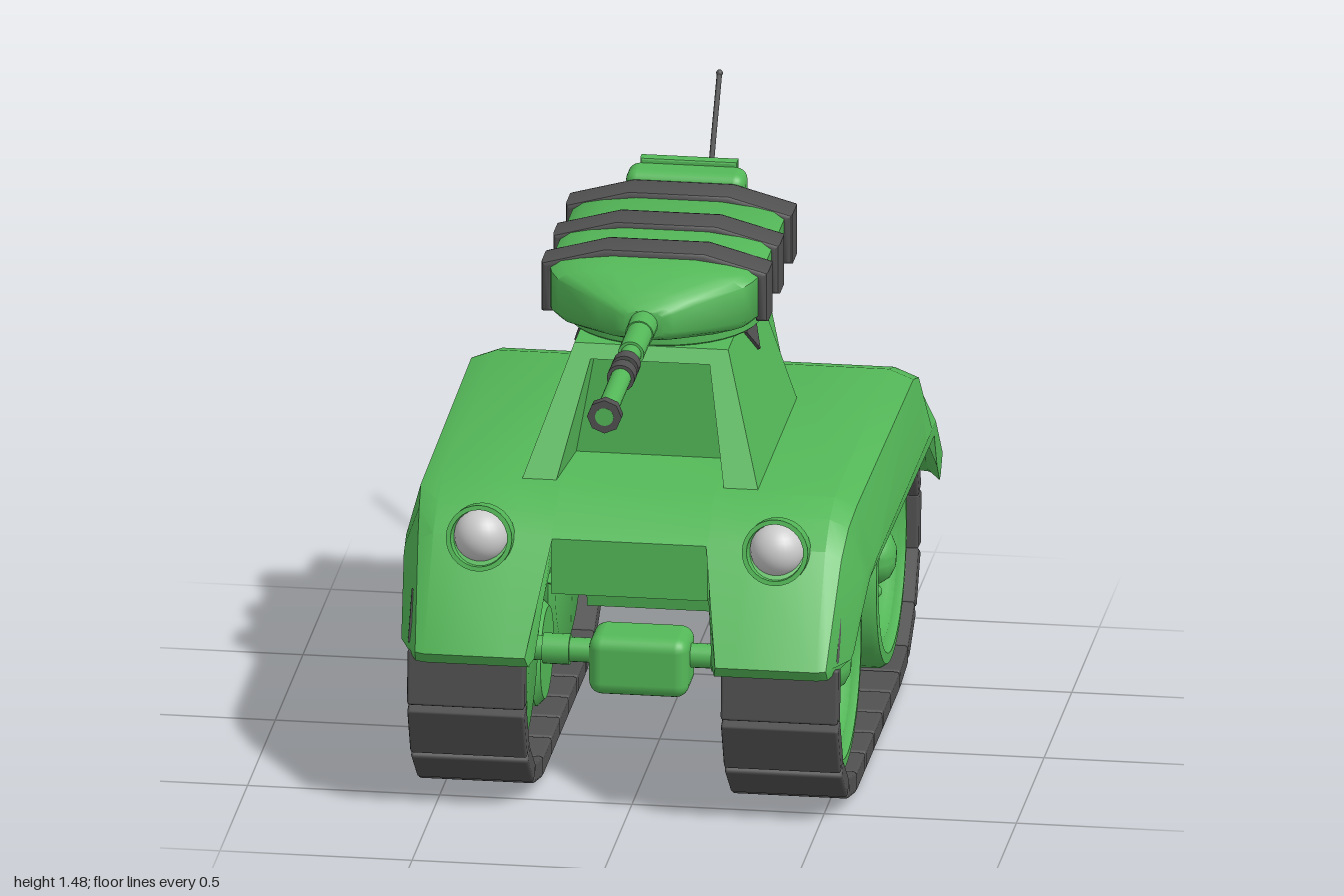
import * as THREE from 'three';
import { toCreasedNormals } from 'three/addons/utils/BufferGeometryUtils.js';
import { RoundedBoxGeometry } from 'three/addons/geometries/RoundedBoxGeometry.js';

const green = new THREE.MeshStandardMaterial({ color: 0x54b858 });
const dark = new THREE.MeshStandardMaterial({ color: 0x515151 });
const grey = new THREE.MeshStandardMaterial({ color: 0xcccccc });
const greenThin = new THREE.MeshStandardMaterial({ color: 0x54b858, side: THREE.DoubleSide });

const V2 = (p) => new THREE.Vector2(p[0], p[1]);

// Closed loft: sections [c, [[a, b, shift], ...]] along axis c; (a, b) are the next two axes in x-y-z order,
// and the optional shift moves a point along c
function loft(sections, axis, crease = 0.6) {
  let secs = sections.slice();
  if (secs[0][0] > secs[secs.length - 1][0]) secs.reverse();
  const mid = secs[Math.floor(secs.length / 2)][1];
  if (THREE.ShapeUtils.isClockWise(mid.map(V2))) secs = secs.map(([c, p]) => [c, p.slice().reverse()]);
  const n = mid.length, pos = [], idx = [];
  for (const [c0, pts] of secs) for (const [a, b, shift = 0] of pts) {
    const c = c0 + shift;
    pos.push(...(axis === 'x' ? [c, a, b] : axis === 'y' ? [b, c, a] : [a, b, c]));
  }
  for (let i = 0; i < secs.length - 1; i++) for (let j = 0; j < n; j++) {
    const k = (j + 1) % n, p = i * n, q = p + n;
    idx.push(p + j, p + k, q + k, p + j, q + k, q + j);
  }
  const end = (secs.length - 1) * n;
  for (const [a, b, c] of THREE.ShapeUtils.triangulateShape(secs[0][1].map(V2), [])) idx.push(c, b, a);
  for (const [a, b, c] of THREE.ShapeUtils.triangulateShape(secs[secs.length - 1][1].map(V2), []))
    idx.push(end + a, end + b, end + c);
  const g = new THREE.BufferGeometry();
  g.setAttribute('position', new THREE.Float32BufferAttribute(pos, 3));
  g.setIndex(idx);
  return toCreasedNormals(g, crease);
}

// Lathe of [radius, along] points, spun about the x, y or z axis
function spin(points, axis, segments = 40) {
  const g = new THREE.LatheGeometry(points.map(V2), segments);
  if (axis === 'x') g.rotateZ(-Math.PI / 2);
  if (axis === 'z') g.rotateX(Math.PI / 2);
  return toCreasedNormals(g, 0.7);
}

export function createModel() {
  const model = new THREE.Group();
  const add = (name, geo, mat, x = 0, y = 0, z = 0, parent = model) => {
    const m = new THREE.Mesh(geo, mat);
    m.name = name;
    m.position.set(x, y, z);
    parent.add(m);
    return m;
  };
  const zy = (list) => list.map(([z, y]) => [y, z]);
  const prismX = (w, list) => loft([[-w, zy(list)], [w, zy(list)]], 'x');

  // Central hull and belly
  add('hull', prismX(0.204, [[0.55, 0.59], [0.55, 0.74], [0.47, 0.8], [0.38, 0.83], [-0.6, 0.83], [-0.7, 0.8],
    [-0.77, 0.73], [-0.885, 0.52], [-0.85, 0.47], [-0.78, 0.5], [-0.7, 0.59]]), green);
  add('belly', prismX(0.225, [[0.5, 0.6], [0.08, 0.43], [-0.22, 0.43], [-0.25, 0.27], [-0.6, 0.27], [-0.78, 0.6]]), green);
  const rect = (x, z0, z1) => [[z0, x], [z1, x], [z1, -x], [z0, -x]];
  add('sideBrackets', loft([[0.43, rect(0.25, -0.215, 0.03)], [0.64, rect(0.5, -0.24, 0.06)]], 'y'), green);

  // Fenders: side profile that rounds over and drops to a skirt on the outside
  const outer = [[0.7, 0.44], [0.72, 0.47], [0.55, 0.74], [0.47, 0.8], [0.38, 0.83], [-0.6, 0.83], [-0.7, 0.8],
    [-0.77, 0.73], [-0.9, 0.52], [-0.86, 0.465]];
  const under = [[-0.84, 0.48], [-0.77, 0.6], [-0.62, 0.71], [0.45, 0.71], [0.6, 0.6], [0.66, 0.45]];
  const skirt = [[-0.785, 0.465], [-0.74, 0.52], [-0.69, 0.62], [0.4, 0.62], [0.49, 0.55], [0.57, 0.48]];
  const full = [...outer, ...under];
  const shoulder = [...outer.map(([z, y]) => [z * 0.985, y - (y > 0.6 ? 0.022 : 0)]), ...under.map(([z, y]) => [z * 0.985, y])];
  const side = [...outer.map(([z, y]) => [z * (z > 0 ? 0.85 : 0.935), Math.max(0.47, Math.min(0.65, y))]), ...skirt];
  for (const s of [1, -1]) {
    const inner = full.map(([z, y]) => [y, z, s * (0.28 * Math.max(0, z - 0.55) + 0.8 * Math.max(0, -0.85 - z))]);
    const taper = (list) => list.map(([z, y]) => [y, z, -s * 0.1 * Math.max(0, z - 0.3)]);
    add(s > 0 ? 'leftFender' : 'rightFender', loft([[s * 0.2, inner], [s * 0.3, zy(full)], [s * 0.51, zy(full)],
      [s * 0.575, taper(shoulder)], [s * 0.615, taper(side)]], 'x', 0.5), green);
    // Headlight with hood
    add('headlightHousing', spin([[0, -0.11], [0.045, -0.1], [0.075, -0.07], [0.086, -0.02], [0.086, 0.04],
      [0.074, 0.04], [0.07, -0.01]], 'z', 28), greenThin, s * 0.385, 0.738, 0.554).rotation.x = -0.22;
    add('headlightLens', new THREE.SphereGeometry(0.071, 28, 18), grey, s * 0.385, 0.74, 0.545);
  }

  // Wheels, axles and tracks
  const Y = 0.365, WHEEL_Y = 0.358, FRONT = 0.325, REAR = -0.49, R = 0.332, SPAN = FRONT - REAR;
  const wheelGeo = spin([[0, -0.1], [0.265, -0.1], [0.29, -0.085], [0.29, 0.11], [0.278, 0.128], [0.25, 0.13],
    [0.235, 0.115], [0.215, 0.112], [0.2, 0.095], [0.175, 0.07], [0.15, 0.062], [0.13, 0.07], [0.075, 0.08],
    [0.072, 0.1], [0.055, 0.125], [0.03, 0.137], [0, 0.14]], 'x', 48);
  const idlerGeo = spin([[0, -0.1], [0.12, -0.1], [0.14, -0.08], [0.14, 0.06], [0.125, 0.08], [0.1, 0.078],
    [0.085, 0.062], [0.07, 0.062], [0.05, 0.08], [0.025, 0.092], [0, 0.095]], 'x', 36);
  const boltGeo = new THREE.SphereGeometry(0.018, 12, 8);
  const loop = 2 * SPAN + 2 * Math.PI * R, LINKS = 24;
  const trackPoint = (d) => {
    d = ((d % loop) + loop) % loop;
    if (d < SPAN) return [FRONT - d, Y - R];
    d -= SPAN;
    if (d < Math.PI * R) return [REAR - R * Math.sin(d / R), Y - R * Math.cos(d / R)];
    d -= Math.PI * R;
    if (d < SPAN) return [REAR + d, Y + R];
    d -= SPAN;
    return [FRONT + R * Math.sin(d / R), Y + R * Math.cos(d / R)];
  };
  const linkGeo = new RoundedBoxGeometry(0.305, 0.055, 0.15, 1, 0.008);
  for (const s of [1, -1]) {
    const running = new THREE.Group();
    running.name = s > 0 ? 'leftRunningGear' : 'rightRunningGear';
    model.add(running);
    for (const z of [FRONT, REAR]) {
      const wheel = add('roadWheel', wheelGeo, green, s * 0.405, WHEEL_Y, z, running);
      wheel.rotation.y = s > 0 ? 0 : Math.PI;
      for (let i = 0; i < 4; i++) {
        const a = i * Math.PI / 2;
        add('wheelBolt', boltGeo, green, 0.085, 0.098 * Math.cos(a), 0.098 * Math.sin(a), wheel);
      }
    }
    add('idlerWheel', idlerGeo, green, s * 0.405, 0.197, -0.085, running).rotation.y = s > 0 ? 0 : Math.PI;
    for (let i = 0; i < LINKS; i++) {
      const a = trackPoint(i * loop / LINKS), b = trackPoint((i + 1) * loop / LINKS);
      const link = add('trackLink', linkGeo, dark, s * 0.408, (a[1] + b[1]) / 2, (a[0] + b[0]) / 2, running);
      link.rotation.x = -Math.atan2(b[1] - a[1], b[0] - a[0]);
    }
  }
  const axle = (name, r, len, z, x = 0) =>
    add(name, new THREE.CylinderGeometry(r, r, len, 20).rotateZ(Math.PI / 2), green, x, WHEEL_Y, z);
  axle('frontAxle', 0.032, 0.64, FRONT);
  axle('rearAxle', 0.032, 0.64, REAR);
  for (const s of [1, -1]) axle('axleCollar', 0.04, 0.07, FRONT, s * 0.22);
  add('gearHousing', new RoundedBoxGeometry(0.26, 0.16, 0.16, 3, 0.035), green, 0, 0.34, FRONT);

  // Turret pedestal with a deep recess between its front pillars
  const plan = (pts) => [...pts.map(([x, z]) => [z, x]), ...pts.slice().reverse().map(([x, z]) => [z, -x])];
  const pedestal = (y0, y1, low, high) => add('pedestal', loft([[y0, plan(low)], [y1, plan(high)]], 'y', 0.3), green);
  pedestal(0.82, 1.1, [[0.31, -0.35], [0.31, 0.36], [0.22, 0.36], [0.2, 0.13]],
    [[0.212, -0.35], [0.212, 0.173], [0.155, 0.173], [0.15, 0.13]]);
  pedestal(1.1, 1.135, [[0.212, -0.35], [0.212, 0.173]], [[0.2, -0.35], [0.2, 0.15]]);
  add('turretRing', spin([[0, 0], [0.245, 0], [0.252, 0.006], [0.252, 0.03], [0.235, 0.04], [0, 0.04]], 'y'), green, 0, 1.133, -0.1);

  // Open bay behind the pedestal
  const bay = new THREE.Shape([[-0.245, 0.825], [-0.165, 0.825], [-0.11, 1.03], [0.11, 1.03], [0.165, 0.825],
    [0.245, 0.825], [0.19, 1.1], [-0.19, 1.1]].map(V2));
  add('rearBay', new THREE.ExtrudeGeometry(bay, { depth: 0.215, bevelEnabled: false }), green, 0, 0, -0.555);

  // Triangular side markers
  const tri = new THREE.Shape([[-0.075, 0.04], [0, -0.035], [0.075, 0.04]].map(V2));
  for (const s of [1, -1]) {
    const marker = add('sideMarker', new THREE.ExtrudeGeometry(tri, { depth: 0.02, bevelEnabled: false }), dark,
      s * 0.212, 1.063, -0.14);
    marker.rotation.set(-0.34, s * Math.PI / 2, 0, 'YXZ');
  }

  // Turret body
  const oval = (w, y0, y1) => {
    const h = y1 - y0, half = [[0.4, 0], [0.7, 0.05], [0.9, 0.13], [1, 0.25], [1, 0.8], [0.9, 0.89], [0.7, 0.95], [0.4, 1]];
    return [...half.map(([a, b]) => [a * w, y0 + b * h]), ...half.reverse().map(([a, b]) => [-a * w, y0 + b * h])];
  };
  add('turret', loft([[-0.46, 0.25, 1.18, 1.34], [-0.43, 0.275, 1.16, 1.36], [0.08, 0.275, 1.162, 1.36],
    [0.13, 0.262, 1.168, 1.355], [0.17, 0.24, 1.175, 1.347], [0.25, 0.125, 1.19, 1.31], [0.28, 0.075, 1.2, 1.29],
    [0.295, 0.05, 1.21, 1.28]].map(([z, w, a, b]) => [z, oval(w, a, b)]), 'z', 0.9), green);

  // Straps over the turret, with rounded edges
  const strap = new THREE.Shape([[-0.295, 1.195], [-0.262, 1.195], [-0.262, 1.3], [-0.12, 1.33], [0.12, 1.33],
    [0.262, 1.3], [0.262, 1.195], [0.295, 1.195], [0.295, 1.33], [0.13, 1.375], [-0.13, 1.375], [-0.295, 1.33]].map(V2));
  const strapGeo = toCreasedNormals(new THREE.ExtrudeGeometry(strap, { depth: 0.074, bevelSize: 0.011,
    bevelOffset: -0.011, bevelThickness: 0.018, bevelSegments: 2 }), 0.6);
  for (const z of [0.008, -0.202, -0.432]) add('turretStrap', strapGeo, dark, 0, 0, z);

  // Rear hatch of the turret
  add('hatchBox', new RoundedBoxGeometry(0.31, 0.225, 0.1, 3, 0.03), green, 0, 1.28, -0.49);
  const rim = new THREE.Shape([[-0.12, -0.118], [0.12, -0.118], [0.12, 0.118], [-0.12, 0.118]].map(V2));
  rim.holes.push(new THREE.Path([[-0.095, -0.093], [-0.095, 0.093], [0.095, 0.093], [0.095, -0.093]].map(V2)));
  add('hatchRim', new THREE.ExtrudeGeometry(rim, { depth: 0.022, bevelSize: 0.006, bevelThickness: 0.006, bevelSegments: 2 }),
    green, 0, 1.28, -0.549);

  // Gun barrel along z
  const gun = (name, r, z0, z1, mat, seg = 20) =>
    add(name, new THREE.CylinderGeometry(r, r, z1 - z0, seg).rotateX(Math.PI / 2), mat, 0, 1.245, (z0 + z1) / 2);
  gun('barrelSleeve', 0.037, 0.27, 0.37, green);
  gun('barrelBase', 0.034, 0.36, 0.52, green);
  gun('barrel', 0.027, 0.5, 0.98, green);
  gun('barrelRing', 0.036, 0.59, 0.635, dark);
  gun('barrelRing', 0.036, 0.66, 0.705, dark);
  gun('muzzle', 0.045, 0.97, 1.0, dark, 8);
  gun('bore', 0.024, 0.99, 1.001, green);

  // Fuel can on the rear slope, with a side pocket and cap
  const can = new THREE.Group();
  can.name = 'fuelCan';
  can.position.set(-0.03, 0.662, -0.888);
  can.rotation.x = 0.5;
  model.add(can);
  add('canBody', new RoundedBoxGeometry(0.32, 0.26, 0.145, 4, 0.035), green, 0, 0, 0, can);
  add('canPocket', new RoundedBoxGeometry(0.1, 0.16, 0.09, 3, 0.025), green, 0.16, -0.03, -0.012, can);
  add('canCap', new THREE.CylinderGeometry(0.029, 0.029, 0.05, 18).rotateZ(Math.PI / 2), dark, 0.168, 0.083, 0.006, can);

  // Antenna
  const whip = new THREE.CatmullRomCurve3([[0.005, 0.83, -0.69], [0.008, 1.06, -0.765], [0.011, 1.27, -0.855],
    [0.015, 1.48, -0.977]].map((p) => new THREE.Vector3(...p)));
  add('antennaWhip', new THREE.TubeGeometry(whip, 24, 0.007, 8), dark);
  add('antennaTip', new THREE.SphereGeometry(0.009, 10, 8), dark, 0.015, 1.48, -0.977);
  add('antennaBase', new THREE.SphereGeometry(0.03, 16, 12), dark, 0.005, 0.822, -0.69);
  add('antennaCollar', new THREE.CylinderGeometry(0.02, 0.024, 0.035, 14), dark, 0.005, 0.85, -0.695);

  return model;
}
